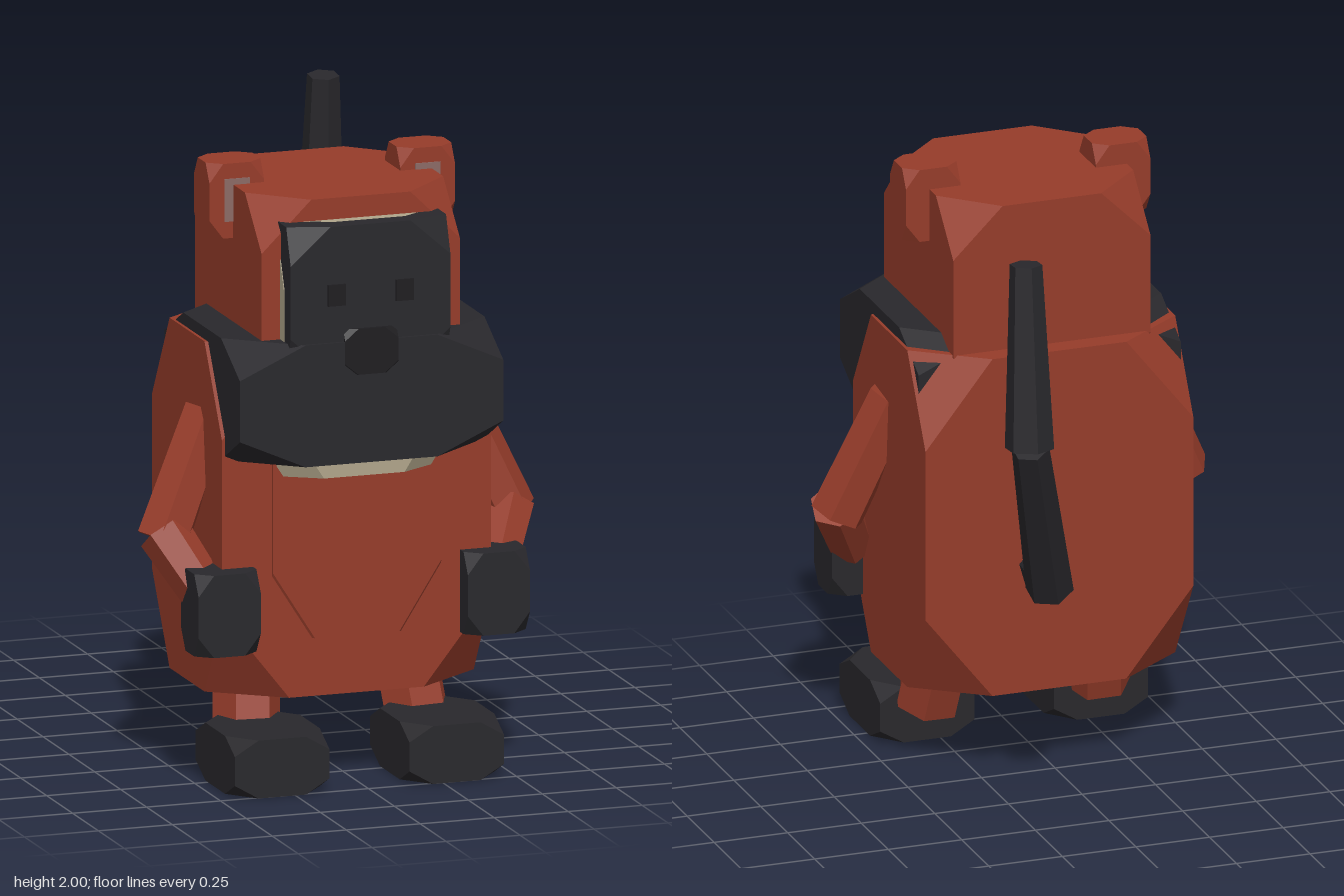
import * as THREE from 'three';
import { ConvexGeometry } from 'three/addons/geometries/ConvexGeometry.js';

const mat = (color) => new THREE.MeshStandardMaterial({ color, flatShading: true });
const fur = mat(0x963c2a);
const dark = mat(0x29282c);
const black = mat(0x1e1d20);
const cream = mat(0xb0a58a);
const pink = mat(0x8c6a66);

// Box between two corners, each of its eight corners cut off a quarter of the way along every edge
function cutBox(name, material, [x0, x1], [y0, y1], [z0, z1], cut = 0.25) {
  const half = new THREE.Vector3(x1 - x0, y1 - y0, z1 - z0).multiplyScalar(0.5);
  const points = [];
  const inner = 1 - 2 * cut;
  for (const sx of [-1, 1]) for (const sy of [-1, 1]) for (const sz of [-1, 1]) {
    for (const k of [[inner, 1, 1], [1, inner, 1], [1, 1, inner]]) {
      points.push(new THREE.Vector3(sx * k[0], sy * k[1], sz * k[2]).multiply(half));
    }
  }
  const mesh = new THREE.Mesh(new ConvexGeometry(points), material);
  mesh.name = name;
  mesh.position.set((x0 + x1) / 2, (y0 + y1) / 2, (z0 + z1) / 2);
  return mesh;
}

// Six-sided limb running from point a (radius ra) to point b (radius rb)
function limb(name, material, a, b, ra, rb) {
  const start = new THREE.Vector3(...a);
  const end = new THREE.Vector3(...b);
  const dir = end.clone().sub(start);
  const mesh = new THREE.Mesh(new THREE.CylinderGeometry(rb, ra, dir.length(), 6), material);
  mesh.name = name;
  mesh.position.copy(start).add(end).multiplyScalar(0.5);
  mesh.quaternion.setFromUnitVectors(new THREE.Vector3(0, 1, 0), dir.normalize());
  return mesh;
}

export function createModel() {
  const model = new THREE.Group();
  model.name = 'plushAnimal';

  // Torso, head and face
  model.add(
    cutBox('body', fur, [-0.455, 0.455], [0.29, 1.44], [-0.04, 0.635]),
    cutBox('belly', fur, [-0.285, 0.285], [0.48, 1.38], [0.2, 0.641]),
    cutBox('head', fur, [-0.335, 0.335], [1.27, 1.93], [0.03, 0.675]),
    cutBox('scarf', dark, [-0.445, 0.445], [1.08, 1.48], [0.05, 0.78]),
    cutBox('faceLining', cream, [-0.272, 0.272], [1.02, 1.86], [0.38, 0.71]),
    cutBox('face', dark, [-0.27, 0.27], [1.38, 1.86], [0.6, 0.77]),
    cutBox('nose', black, [-0.09, 0.09], [1.37, 1.52], [0.7, 0.782])
  );

  // Paired parts, written for the left side and mirrored
  for (const [side, s] of [['left', 1], ['right', -1]]) {
    const span = (a, b) => (s > 0 ? [a, b] : [-b, -a]);
    const at = (x, y, z) => [s * x, y, z];
    model.add(
      cutBox(side + 'Ear', fur, span(0.23, 0.415), [1.755, 2.0], [0.25, 0.4]),
      cutBox(side + 'InnerEar', pink, span(0.28, 0.365), [1.81, 1.95], [0.38, 0.404], 0.02),
      cutBox(side + 'Eye', black, span(0.085, 0.145), [1.6, 1.67], [0.74, 0.777], 0.02),
      limb(side + 'UpperArm', fur, at(0.41, 1.19, 0.375), at(0.585, 0.79, 0.43), 0.085, 0.092),
      limb(side + 'Forearm', fur, at(0.585, 0.82, 0.44), at(0.48, 0.62, 0.58), 0.085, 0.075),
      cutBox(side + 'Hand', dark, span(0.35, 0.56), [0.46, 0.73], [0.54, 0.71]),
      limb(side + 'Leg', fur, at(0.26, 0.42, 0.31), at(0.29, 0.12, 0.4), 0.11, 0.11),
      cutBox(side + 'Foot', dark, span(0.135, 0.455), [0, 0.19], [0.38, 0.76])
    );
  }

  // Jointed tail, rising behind
  model.add(
    limb('tailBase', dark, [0.04, 0.69, 0.02], [0.19, 0.815, -0.48], 0.082, 0.055),
    limb('tailMiddle', dark, [0.185, 0.8, -0.455], [0.34, 1.39, -0.7], 0.078, 0.062),
    limb('tailTip', dark, [0.345, 1.39, -0.705], [0.335, 1.995, -0.645], 0.08, 0.053)
  );
  return model;
}
